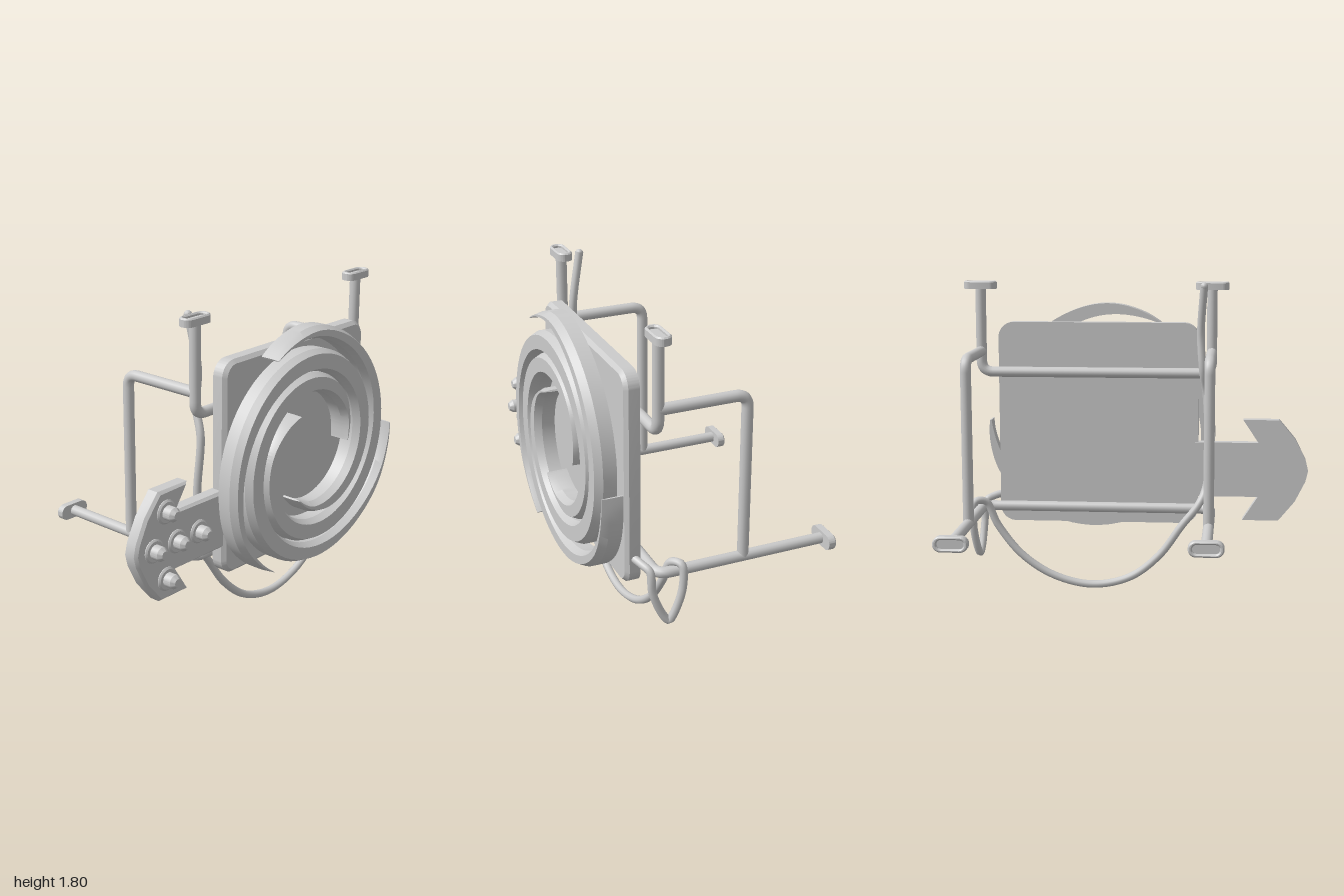
import * as THREE from 'three';
import { toCreasedNormals } from 'three/addons/utils/BufferGeometryUtils.js';

const material = new THREE.MeshStandardMaterial({ color: 0xcccccc });
const V = (x, y, z) => new THREE.Vector3(x, y, z);

function add(parent, name, geometry) {
  const mesh = new THREE.Mesh(geometry, material);
  mesh.name = name;
  parent.add(mesh);
  return mesh;
}

// Extruded plate from z = 0 to depth, chamfered on the front, flat at the back
function plate(shape, depth, bevel) {
  const g = new THREE.ExtrudeGeometry(shape, {
    depth: depth - bevel, bevelEnabled: true, bevelSegments: 1, bevelSize: bevel,
    bevelThickness: bevel, bevelOffset: -bevel, curveSegments: 10,
  });
  const p = g.attributes.position;
  for (let i = 0; i < p.count; i++) p.setZ(i, Math.max(0, p.getZ(i)));
  return toCreasedNormals(g, 0.5);
}

// Rounded rectangle centred on the origin
function roundedRect(w, h, r, Type = THREE.Shape) {
  const s = new Type(), x = w / 2 - r, y = h / 2 - r, q = Math.PI / 2;
  s.absarc(x, y, r, 0, q);
  s.absarc(-x, y, r, q, 2 * q);
  s.absarc(-x, -y, r, 2 * q, 3 * q);
  s.absarc(x, -y, r, 3 * q, 4 * q);
  s.closePath();
  return s;
}

// Round rod through straight runs with rounded corners
function rod(points, radius, bend = 0.07) {
  const path = new THREE.CurvePath();
  let from = points[0];
  for (let i = 1; i < points.length - 1; i++) {
    const c = points[i];
    const a = c.clone().add(points[i - 1].clone().sub(c).setLength(bend));
    const b = c.clone().add(points[i + 1].clone().sub(c).setLength(bend));
    path.add(new THREE.LineCurve3(from, a));
    path.add(new THREE.QuadraticBezierCurve3(a, c, b));
    from = b;
  }
  path.add(new THREE.LineCurve3(from, points[points.length - 1]));
  return new THREE.TubeGeometry(path, 160, radius, 14);
}

// One spiral blade: a tapered, chamfered section swept one turn clockwise
function spiralBlade() {
  const back = 0.525, shoulder = 0.598, front = 0.638, steps = 120;
  // angle in degrees, inner radius, outer radius
  const radii = [
    [0, 0.672, 0.682], [12, 0.655, 0.695], [30, 0.63, 0.699], [60, 0.575, 0.662],
    [120, 0.487, 0.603], [180, 0.42, 0.543], [240, 0.365, 0.482], [300, 0.312, 0.408],
    [330, 0.29, 0.35], [350, 0.274, 0.303], [360, 0.27, 0.28],
  ];
  const curve = new THREE.CatmullRomCurve3(
    radii.map(([a, i, o]) => V(THREE.MathUtils.degToRad(a), i, o)), false, 'catmullrom', 0.5);
  const pos = [], idx = [], n = 6;
  for (let s = 0; s <= steps; s++) {
    const { x: a, y: ri, z: ro } = curve.getPoint(s / steps);
    const b = Math.min(0.02, (ro - ri) * 0.35);
    const section = [[ri, back], [ro, back], [ro, shoulder], [ro - b, front], [ri + b, front], [ri, shoulder]];
    for (const [r, z] of section) pos.push(r * Math.cos(-a), r * Math.sin(-a), z);
    if (s === steps) break;
    for (let k = 0; k < n; k++) {
      const p = s * n + k, q = s * n + (k + 1) % n;
      idx.push(p, q, p + n, q, q + n, p + n);
    }
  }
  const e = steps * n;
  for (let k = 1; k < n - 1; k++) idx.push(0, k + 1, k, e, e + k, e + k + 1);
  const g = new THREE.BufferGeometry();
  g.setAttribute('position', new THREE.Float32BufferAttribute(pos, 3));
  g.setIndex(idx);
  return toCreasedNormals(g, 0.45);
}

// Oblong foot with a recessed face, facing +z
function footPad() {
  const group = new THREE.Group();
  const rim = roundedRect(0.19, 0.085, 0.0424);
  rim.holes.push(roundedRect(0.145, 0.05, 0.0249, THREE.Path));
  add(group, 'padRim', plate(rim, 0.045, 0.007));
  add(group, 'padFloor', plate(roundedRect(0.16, 0.06, 0.0299), 0.028, 0.002));
  return group;
}

export function createModel() {
  const model = new THREE.Group();
  model.name = 'spiralSign';

  // Square back board
  add(model, 'backBoard', plate(roundedRect(1.17, 1.18, 0.09), 0.08, 0.02)).position.set(0.225, 0.97, 0.4);

  // Spiral of three blades
  const spiral = new THREE.Group();
  spiral.name = 'spiral';
  spiral.position.set(0.21, 0.963, 0);
  const blade = spiralBlade();
  for (let i = 0; i < 3; i++) add(spiral, 'spiralBlade', blade).rotation.z = i * Math.PI * 2 / 3;
  model.add(spiral);

  // Arrow plate
  const arrow = new THREE.Shape([
    [-0.34, 0.545], [-0.71, 0.545], [-0.62, 0.405], [-0.83, 0.405], [-0.925, 0.52], [-0.985, 0.64],
    [-1, 0.703], [-0.985, 0.766], [-0.925, 0.886], [-0.83, 1], [-0.62, 1], [-0.71, 0.865], [-0.34, 0.865],
  ].map(([x, y]) => new THREE.Vector2(x, y)));
  add(model, 'arrow', plate(arrow, 0.075, 0.015)).position.z = 0.395;

  // Lamps on the arrow
  const lamp = new THREE.LatheGeometry([
    [0.064, 0], [0.064, 0.006], [0.055, 0.014], [0.038, 0.014], [0.038, 0.06], [0.022, 0.082], [0, 0.082],
  ].map(([x, y]) => new THREE.Vector2(x, y)), 24).rotateX(Math.PI / 2);
  const lampGeometry = toCreasedNormals(lamp, 0.5);
  for (const [x, y] of [[-0.875, 0.703], [-0.71, 0.703], [-0.545, 0.703], [-0.785, 0.886], [-0.785, 0.52]]) {
    add(model, 'lamp', lampGeometry).position.set(x, y, 0.468);
  }

  // Rod frame behind the board
  const xl = -0.435, xr = 0.9, zf = 0.345, r = 0.03;
  add(model, 'upperFrame', rod([V(xl, 1.78, zf), V(xl, 1.275, zf), V(xr, 1.275, zf), V(xr, 1.78, zf)], r));
  add(model, 'lowerFrame', rod([V(xl, 0.48, -0.62), V(xl, 0.48, zf), V(xr, 0.48, zf), V(xr, 0.48, -0.62)], r));
  for (const x of [xl, xr]) {
    add(model, 'rearBrace', rod([V(x, 1.395, zf), V(x, 1.395, -0.135), V(x, 0.48, -0.135)], r));
    const top = footPad(), rear = footPad();
    top.name = 'topPad';
    top.position.set(x, 1.755, zf);
    top.rotation.x = -Math.PI / 2;
    rear.name = 'rearPad';
    rear.position.set(x, 0.48, -0.595);
    rear.rotation.y = Math.PI;
    model.add(top, rear);
  }

  // Cable: down the post, hanging under the board, looped over the rod and into the board
  const cable = new THREE.CatmullRomCurve3([
    V(-0.39, 1.785, 0.255), V(-0.372, 1.5, 0.305), V(-0.385, 1.3, 0.305), V(-0.405, 1.15, 0.355),
    V(-0.42, 0.85, 0.345), V(-0.41, 0.62, 0.35), V(-0.37, 0.52, 0.3), V(-0.27, 0.39, 0.285),
    V(-0.14, 0.21, 0.29), V(0.03, 0.075, 0.297), V(0.25, 0.024, 0.3), V(0.48, 0.075, 0.297),
    V(0.67, 0.2, 0.29), V(0.81, 0.38, 0.28), V(0.875, 0.52, 0.26), V(0.93, 0.525, 0.225),
    V(0.945, 0.4, 0.225), V(0.93, 0.24, 0.27), V(0.92, 0.205, 0.29), V(0.913, 0.24, 0.32),
    V(0.905, 0.38, 0.375), V(0.895, 0.5, 0.385), V(0.85, 0.525, 0.41), V(0.79, 0.54, 0.435),
  ]);
  add(model, 'cable', new THREE.TubeGeometry(cable, 320, 0.022, 10));
  add(model, 'cableEnd', new THREE.SphereGeometry(0.022, 10, 8)).position.copy(cable.getPoint(0)).y -= 0.007;

  return model;
}
